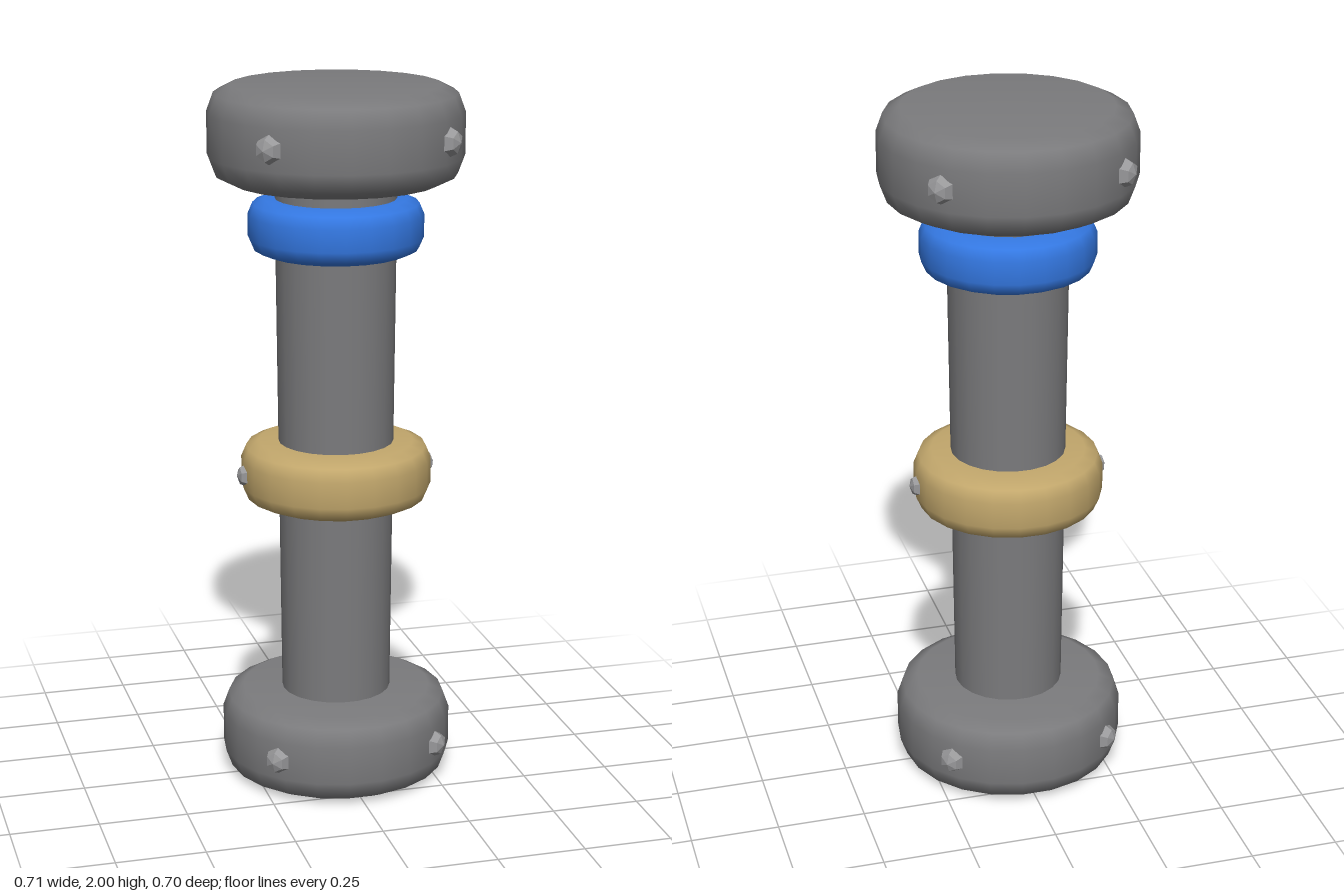
import * as THREE from 'three';
import { mergeVertices } from 'three/addons/utils/BufferGeometryUtils.js';

const SIDES = 22;
const darkGrey = new THREE.MeshStandardMaterial({ color: 0x7b7b7d });
const blue = new THREE.MeshStandardMaterial({ color: 0x3478e2 });
const tan = new THREE.MeshStandardMaterial({ color: 0xc2a76c });
const boltGrey = new THREE.MeshStandardMaterial({ color: 0x98989a, flatShading: true });

// Round disc with softened rims; inner = 0 closes it at the axis
function softDisc(name, material, inner, radius, y0, y1, bevelR, bevelY) {
  const lower = [
    [inner, y0], [radius - bevelR, y0],
    [radius - bevelR * 0.3, y0 + bevelY * 0.3], [radius, y0 + bevelY],
  ];
  const upper = lower.map(([r, y]) => [r, y0 + y1 - y]).reverse();
  const profile = [...lower, ...upper].map(([r, y]) => new THREE.Vector2(r, y));
  const lathe = new THREE.LatheGeometry(profile, SIDES, Math.PI / 2);
  // Area-weighted normals keep the large faces flat and the rims soft
  lathe.deleteAttribute('normal');
  lathe.deleteAttribute('uv');
  const geometry = mergeVertices(lathe);
  geometry.computeVertexNormals();
  const mesh = new THREE.Mesh(geometry, material);
  mesh.name = name;
  return mesh;
}

// Faceted six-sided bolt head, domed along the outward x axis
const boltGeometry = new THREE.SphereGeometry(0.042, 6, 4)
  .rotateZ(-Math.PI / 2)
  .scale(0.86, 1, 1);

function boltRing(name, count, startAngle, radius, y, scale = 1) {
  const ring = new THREE.Group();
  ring.name = name;
  for (let i = 0; i < count; i++) {
    const angle = startAngle + (i * Math.PI * 2) / count;
    const bolt = new THREE.Mesh(boltGeometry, boltGrey);
    bolt.name = 'bolt';
    bolt.position.set(Math.cos(angle) * radius, y, -Math.sin(angle) * radius);
    bolt.rotation.y = angle;
    bolt.scale.setScalar(scale);
    ring.add(bolt);
  }
  return ring;
}

export function createModel() {
  const model = new THREE.Group();
  model.name = 'column';

  // Shaft, slightly wider at the top
  const shaft = new THREE.Mesh(
    new THREE.CylinderGeometry(0.171, 0.156, 1.6, SIDES).rotateY(Math.PI / 2), darkGrey);
  shaft.name = 'shaft';
  shaft.position.y = 1;
  model.add(shaft);

  // End caps
  model.add(softDisc('baseCap', darkGrey, 0, 0.33, 0, 0.248, 0.06, 0.07));
  model.add(softDisc('topCap', darkGrey, 0, 0.356, 1.733, 2, 0.065, 0.075));

  // Coloured collars
  model.add(softDisc('middleCollar', tan, 0.14, 0.27, 0.815, 0.99, 0.05, 0.05));
  model.add(softDisc('upperCollar', blue, 0.14, 0.245, 1.533, 1.686, 0.045, 0.045));

  // Bolts: four on the diagonals of each cap, two on the sides of the middle collar
  model.add(boltRing('baseBolts', 4, Math.PI / 4, 0.324, 0.125, 0.95));
  model.add(boltRing('topBolts', 4, Math.PI / 4, 0.35, 1.868));
  model.add(boltRing('collarBolts', 2, 0, 0.26, 0.903, 0.82));

  return model;
}
